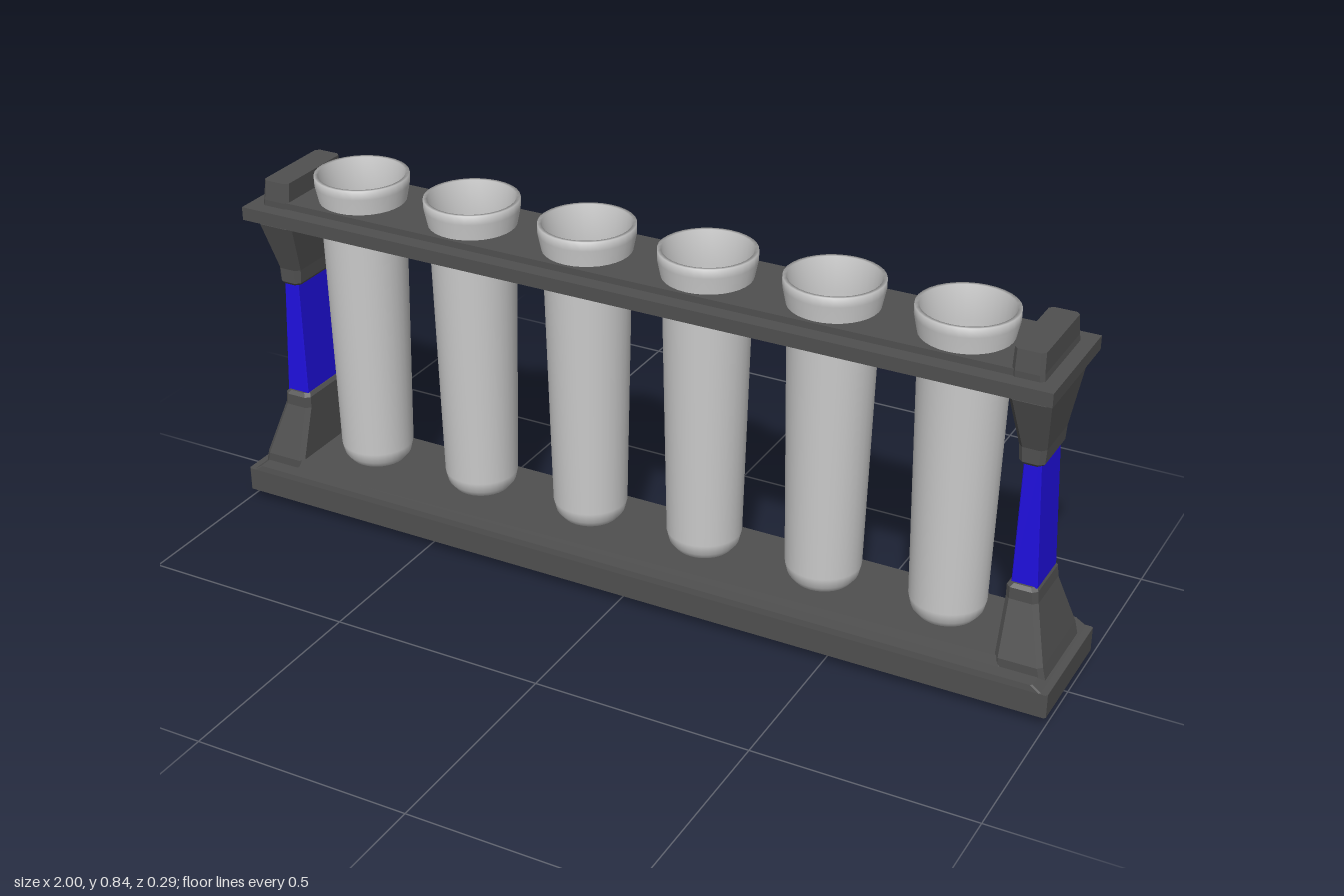
import * as THREE from 'three';

const dark = new THREE.MeshStandardMaterial({ color: 0x505050, flatShading: true });
const blue = new THREE.MeshStandardMaterial({ color: 0x2010e0, flatShading: true });
const glass = new THREE.MeshStandardMaterial({ color: 0xcccccc, side: THREE.DoubleSide });

const tubeX = Array.from({ length: 6 }, (_, i) => -0.724 + i * 0.289);

// Stacks chamfered rectangles, each given as [y, xMin, xMax, halfDepth], bottom to top
function loft(sections, chamfer = 0.008) {
  const pos = [], idx = [], n = 8, c = chamfer;
  for (const [y, a, b, d] of sections) {
    const ring = [[b, d - c], [b, -d + c], [b - c, -d], [a + c, -d],
      [a, -d + c], [a, d - c], [a + c, d], [b - c, d]];
    for (const [x, z] of ring) pos.push(x, y, z);
  }
  for (let k = 0; k < sections.length - 1; k++) {
    for (let i = 0; i < n; i++) {
      const p = k * n + i, q = k * n + (i + 1) % n;
      idx.push(p, q, q + n, p, q + n, p + n);
    }
  }
  const top = (sections.length - 1) * n;
  for (let i = 1; i < n - 1; i++) idx.push(0, i + 1, i, top, top + i, top + i + 1);
  const g = new THREE.BufferGeometry();
  g.setAttribute('position', new THREE.Float32BufferAttribute(pos, 3));
  g.setIndex(idx);
  const flat = g.toNonIndexed();
  flat.computeVertexNormals();
  return flat;
}

// Horizontal plate pierced by the tube holes
function holedPlate(halfX, halfZ, y0, y1) {
  const s = new THREE.Shape();
  s.moveTo(-halfX, -halfZ);
  s.lineTo(halfX, -halfZ);
  s.lineTo(halfX, halfZ);
  s.lineTo(-halfX, halfZ);
  s.closePath();
  for (const x of tubeX) {
    const hole = new THREE.Path();
    hole.absarc(x, 0, 0.098, 0, Math.PI * 2, true);
    s.holes.push(hole);
  }
  const g = new THREE.ExtrudeGeometry(s, { depth: y1 - y0, bevelEnabled: false, curveSegments: 20 });
  return g.rotateX(-Math.PI / 2).translate(0, y0, 0);
}

function add(parent, name, geometry, material) {
  const m = new THREE.Mesh(geometry, material);
  m.name = name;
  parent.add(m);
  return m;
}

export function createModel() {
  const rack = new THREE.Group();
  rack.name = 'testTubeRack';

  // Base: bottom plate, wide slab, raised floor
  add(rack, 'basePlate', loft([[0.012, -0.96, 0.96, 0.11], [0.022, -0.98, 0.98, 0.125]]), dark);
  add(rack, 'baseSlab', loft([[0.022, -1, 1, 0.145], [0.078, -1, 1, 0.145]], 0.004), dark);
  add(rack, 'baseLip', loft([[0.078, -0.985, 0.985, 0.145], [0.092, -0.965, 0.965, 0.143]], 0.004), dark);
  add(rack, 'baseFloor', loft([[0.09, -0.89, 0.89, 0.112], [0.113, -0.88, 0.88, 0.105]]), dark);

  // Top rail: projecting rim around a thicker core
  add(rack, 'railRim', holedPlate(0.955, 0.143, 0.73, 0.761), dark);
  add(rack, 'railCore', holedPlate(0.87, 0.107, 0.716, 0.776), dark);

  // End posts, mirrored
  for (const side of [1, -1]) {
    const post = new THREE.Group();
    post.name = side > 0 ? 'leftPost' : 'rightPost';
    rack.add(post);
    const part = (name, rows, material, chamfer) => add(post, name, loft(
      rows.map(([y, a, b, d]) => side > 0 ? [y, a, b, d] : [y, -b, -a, d]), chamfer), material);

    part('foot', [[0, 0.95, 0.972, 0.108], [0.008, 0.9, 0.975, 0.112], [0.022, 0.86, 0.98, 0.112]], dark);
    part('lowerBracket', [[0.078, 0.867, 0.98, 0.11], [0.112, 0.867, 0.972, 0.11], [0.18, 0.867, 0.953, 0.088],
      [0.235, 0.867, 0.938, 0.07], [0.262, 0.867, 0.935, 0.07], [0.27, 0.873, 0.93, 0.063]], dark, 0.01);
    part('colouredGrip', [[0.262, 0.875, 0.932, 0.058], [0.56, 0.88, 0.917, 0.058]], blue, 0.002);
    part('upperBracket', [[0.55, 0.875, 0.92, 0.064], [0.557, 0.87, 0.925, 0.07], [0.59, 0.868, 0.927, 0.07],
      [0.712, 0.853, 0.942, 0.112], [0.735, 0.855, 0.938, 0.106]], dark, 0.01);
    part('cap', [[0.755, 0.855, 0.925, 0.11], [0.775, 0.855, 0.922, 0.11], [0.82, 0.855, 0.92, 0.104]], dark, 0.008);
  }

  // Hollow test tubes with flared rims
  const profile = [[0, 0.112], [0.045, 0.112], [0.065, 0.119], [0.078, 0.135], [0.084, 0.16],
    [0.096, 0.72], [0.099, 0.776], [0.107, 0.815], [0.107, 0.836], [0.098, 0.836],
    [0.09, 0.76], [0.077, 0.17], [0.06, 0.14], [0.035, 0.128], [0, 0.125]]
    .map(([r, y]) => new THREE.Vector2(r, y));
  const tube = new THREE.LatheGeometry(profile, 32);
  tubeX.forEach((x, i) => {
    add(rack, `testTube${i + 1}`, tube, glass).position.x = x;
  });

  return rack;
}
